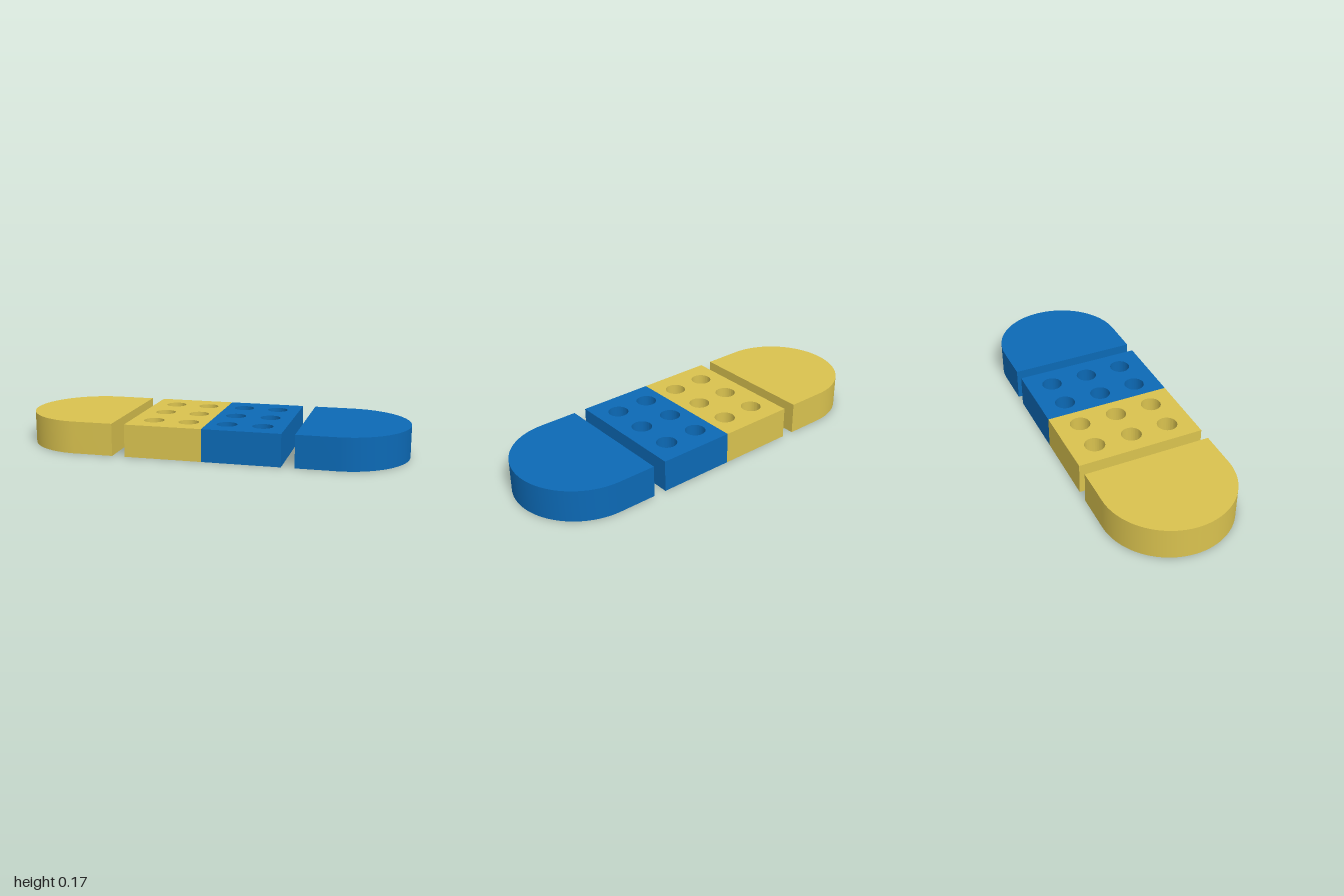
import * as THREE from 'three';
import { toCreasedNormals } from 'three/addons/utils/BufferGeometryUtils.js';

const HEIGHT = 0.167;
const HALF_WIDTH = 0.333;
const BLUE = 0x0c69b5;
const YELLOW = 0xd9c24f;

// Extrude a plan outline upward from y = 0, smooth around curves and sharp at edges
function slab(shape) {
  const geometry = new THREE.ExtrudeGeometry(shape, { depth: HEIGHT, bevelEnabled: false, curveSegments: 32 });
  geometry.rotateX(-Math.PI / 2);
  return toCreasedNormals(geometry, Math.PI / 6);
}

// Straight inner edge and half-round outer end
function endShape() {
  const shape = new THREE.Shape();
  shape.moveTo(0.467, -HALF_WIDTH);
  shape.lineTo(0.667, -HALF_WIDTH);
  shape.absarc(0.667, 0, HALF_WIDTH, -Math.PI / 2, Math.PI / 2, false);
  shape.lineTo(0.467, HALF_WIDTH);
  shape.closePath();
  return shape;
}

// Half of the centre pad, pierced by a 2 x 3 grid of round holes
function padShape() {
  const shape = new THREE.Shape();
  shape.moveTo(0, -HALF_WIDTH);
  shape.lineTo(0.4, -HALF_WIDTH);
  shape.lineTo(0.4, HALF_WIDTH);
  shape.lineTo(0, HALF_WIDTH);
  shape.closePath();
  for (const x of [0.1, 0.283]) {
    for (const z of [-0.2, 0, 0.2]) {
      shape.holes.push(new THREE.Path().absarc(x, z, 0.052, 0, Math.PI * 2, true));
    }
  }
  return shape;
}

export function createModel() {
  const model = new THREE.Group();
  model.name = 'bandage';
  const endGeometry = slab(endShape());
  const padGeometry = slab(padShape());

  // The right half is the left half turned around the vertical axis
  for (const [side, color, turn] of [['left', BLUE, 0], ['right', YELLOW, Math.PI]]) {
    const material = new THREE.MeshStandardMaterial({ color });
    const half = new THREE.Group();
    half.name = side + 'Half';
    half.rotation.y = turn;
    for (const [name, geometry] of [['RoundedEnd', endGeometry], ['PerforatedPad', padGeometry]]) {
      const mesh = new THREE.Mesh(geometry, material);
      mesh.name = side + name;
      half.add(mesh);
    }
    model.add(half);
  }
  return model;
}
